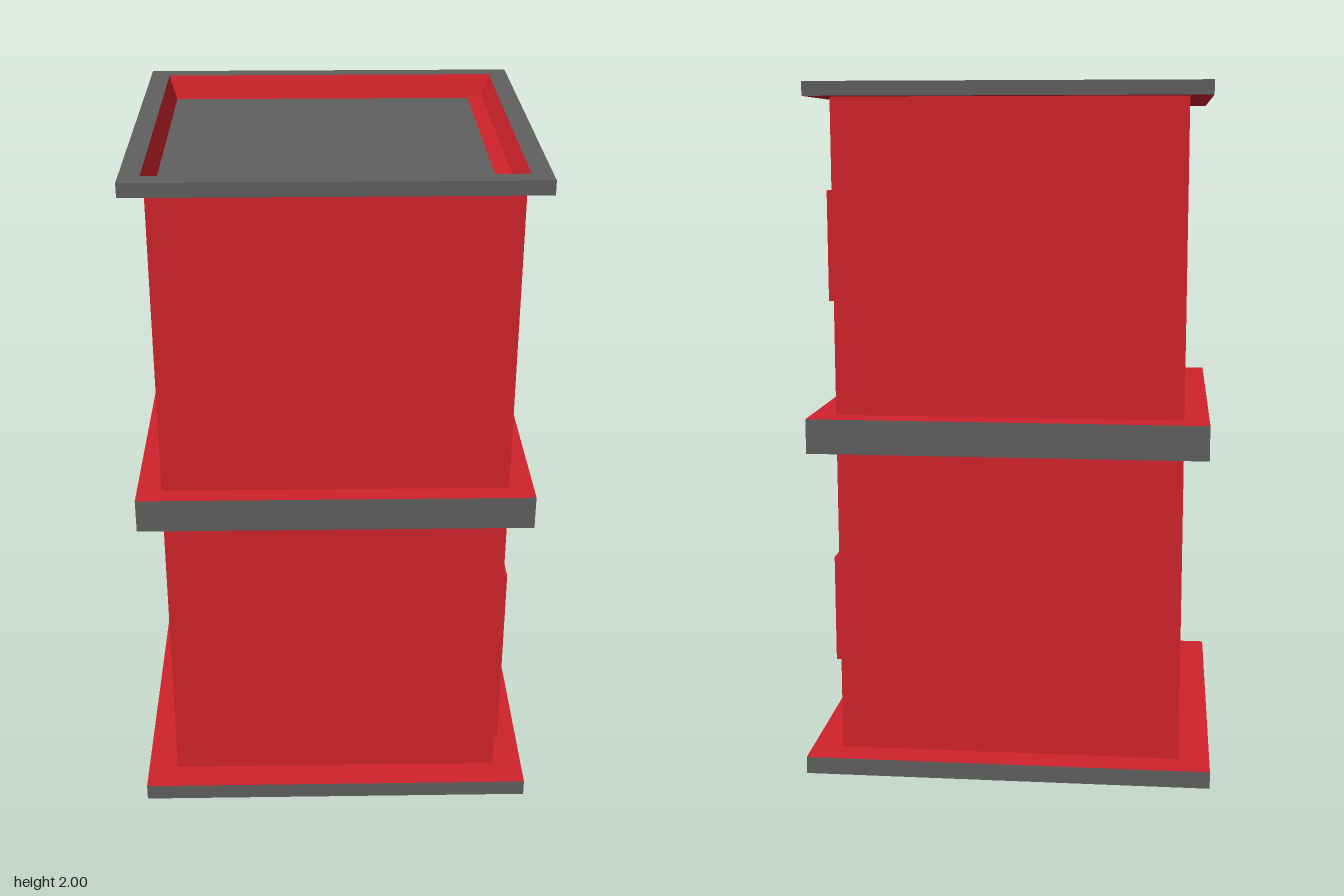
import * as THREE from 'three';

const paint = (color) => new THREE.MeshStandardMaterial({ color, side: THREE.DoubleSide, flatShading: true });
const red = paint(0xd2232b), grey = paint(0x606060), glass = paint(0x40403d);

export function createModel() {
  const house = new THREE.Group();
  house.name = 'house';

  const add = (name, geometry, material, x = 0, y = 0, z = 0, parent = house) => {
    const mesh = new THREE.Mesh(geometry, material);
    mesh.name = name;
    mesh.position.set(x, y, z);
    parent.add(mesh);
    return mesh;
  };

  // Square shell swept from a profile of [half width, height] pairs
  const shell = (name, profile, material, z = 0) => {
    const points = profile.map(([half, y]) => new THREE.Vector2(half * Math.SQRT2, y));
    const geometry = new THREE.LatheGeometry(points, 4, Math.PI / 4).toNonIndexed();
    geometry.computeVertexNormals();
    return add(name, geometry, material, 0, 0, z);
  };

  // Foundation, open underneath
  shell('baseEdge', [[0.59, 0], [0.59, 0.05]], grey);
  shell('baseTop', [[0.59, 0.05], [0.5, 0.05]], red);

  // Walls of both storeys
  shell('walls', [[0.5, 0.05], [0.5, 1.96]], red);

  // Band between the storeys
  const bandZ = -0.012;
  shell('bandUnderside', [[0.49, 0.96], [0.571, 0.96]], red, bandZ);
  shell('bandEdge', [[0.571, 0.96], [0.571, 1.06]], grey, bandZ);
  shell('bandTop', [[0.571, 1.06], [0.49, 1.06]], red, bandZ);

  // Roof rim, parapet and sunken roof
  shell('roofUnderside', [[0.5, 1.96], [0.564, 1.96]], red);
  shell('roofRim', [[0.564, 1.96], [0.564, 2], [0.507, 2]], grey);
  shell('parapetInside', [[0.507, 2], [0.484, 1.93]], red);
  const flat = (w, d) => new THREE.PlaneGeometry(w, d).rotateX(-Math.PI / 2);
  add('roofFloor', flat(0.97, 0.97), grey, 0, 1.93, 0);
  add('roofStrip', flat(0.05, 0.975), red, 0.463, 1.934, 0);

  // Windows: raised frame around a flat border and pane
  const rect = (Type, w, h) => new Type([
    new THREE.Vector2(-w / 2, -h / 2), new THREE.Vector2(w / 2, -h / 2),
    new THREE.Vector2(w / 2, h / 2), new THREE.Vector2(-w / 2, h / 2),
  ]);
  [['lowerWindow', 0.457], ['upperWindow', 1.54]].forEach(([name, y]) => {
    const win = new THREE.Group();
    win.name = name;
    win.position.set(0.5, y, -0.207);
    house.add(win);
    const outline = rect(THREE.Shape, 0.445, 0.318);
    outline.holes.push(rect(THREE.Path, 0.405, 0.28));
    const frame = new THREE.ExtrudeGeometry(outline, { depth: 0.03, bevelEnabled: false });
    add('windowFrame', frame.rotateY(Math.PI / 2), red, 0, 0, 0, win);
    add('windowBorder', new THREE.BoxGeometry(0.006, 0.28, 0.405), red, 0.003, 0, 0, win);
    add('windowPane', new THREE.BoxGeometry(0.006, 0.255, 0.347), glass, 0.006, 0, 0.004, win);
  });

  // Door with thin frame, knob and sill
  const door = new THREE.Group();
  door.name = 'door';
  door.position.set(0.5, 0.05, 0.23);
  house.add(door);
  add('doorPanel', new THREE.BoxGeometry(0.008, 0.605, 0.27), red, 0.004, 0.3025, 0, door);
  [-1, 1].forEach((s) =>
    add('doorJamb', new THREE.BoxGeometry(0.03, 0.625, 0.012), red, 0.015, 0.3125, s * 0.138, door));
  add('doorLintel', new THREE.BoxGeometry(0.03, 0.024, 0.288), red, 0.015, 0.613, 0, door);
  const knob = new THREE.CylinderGeometry(0.016, 0.016, 0.022, 8).rotateZ(Math.PI / 2);
  add('doorKnob', knob, paint(0x9c1a20), 0.016, 0.35, -0.083, door);
  add('doorSill', new THREE.BoxGeometry(0.03, 0.006, 0.1), red, 0.015, 0.003, 0.12, door);

  return house;
}
